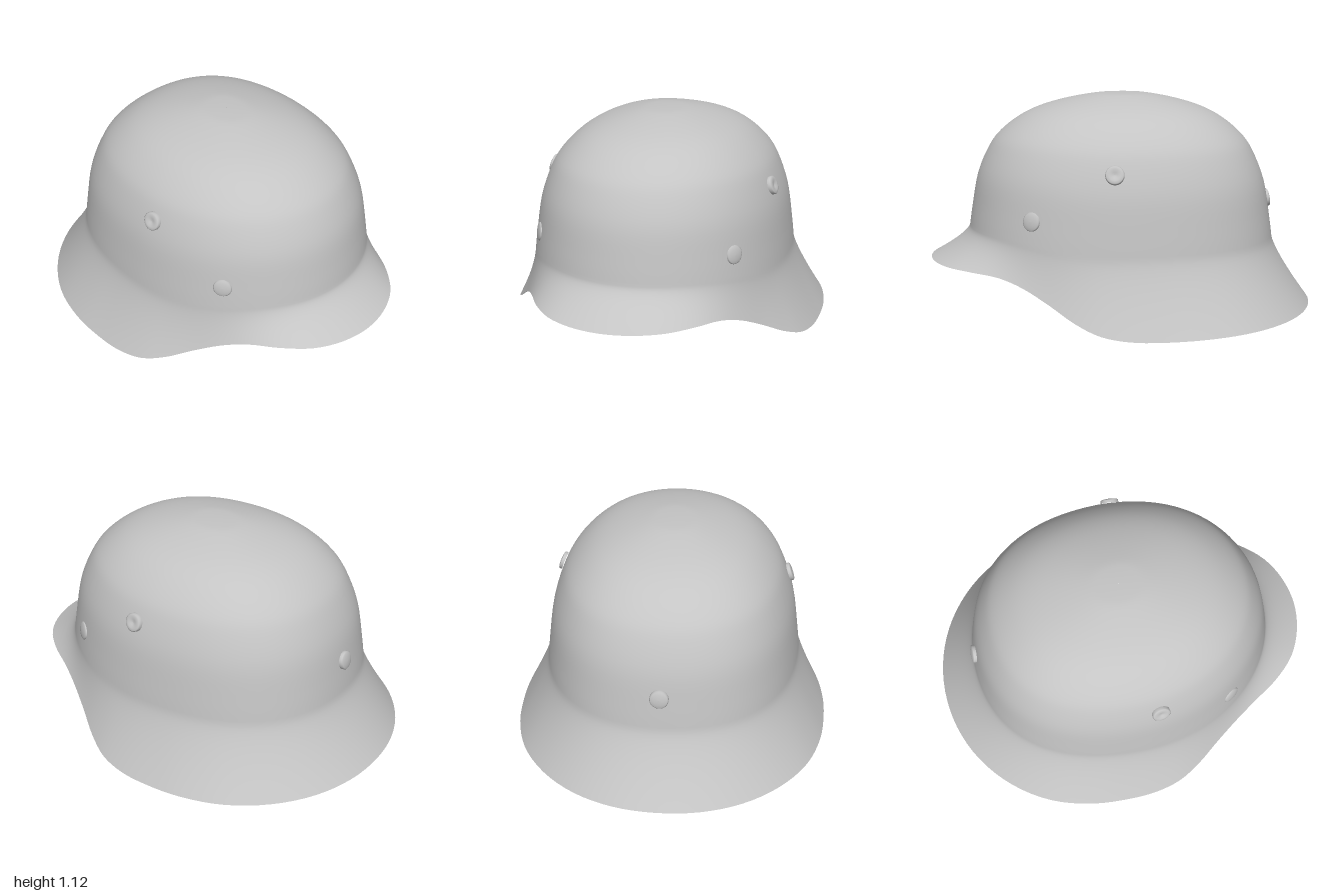
import * as THREE from 'three';

const A = 0.664, B = 0.796, TOP = 1.12, SEG = 128; // dome half width, half depth, height
const steel = new THREE.MeshStandardMaterial({ color: 0xc4c4c4 });
steel.name = 'steelGrey';

// Lower edge, from the front round the left side to the back
const half = [
  [0, 0.27, 1], [0.155, 0.27, 0.975], [0.295, 0.27, 0.905], [0.41, 0.268, 0.785], [0.495, 0.257, 0.65],
  [0.565, 0.22, 0.535], [0.648, 0.15, 0.405], [0.725, 0.08, 0.29], [0.785, 0.03, 0.17],
  [0.815, 0.008, 0.03], [0.82, 0.003, -0.12], [0.802, 0.005, -0.325], [0.733, 0.009, -0.545],
  [0.6, 0.012, -0.738], [0.42, 0.015, -0.885], [0.215, 0.019, -0.972], [0, 0.022, -1],
];
const mirrored = half.slice(1, -1).reverse().map(([x, y, z]) => [-x, y, z]);
const rimCurve = new THREE.CatmullRomCurve3(
  [...half, ...mirrored].map((p) => new THREE.Vector3(...p)), true);

// One station per direction: dome outline, crease height and rim point
const stations = Array.from({ length: SEG }, (_, i) => {
  const rim = rimCurve.getPoint(i / SEG);
  const t = Math.atan2(rim.x / A, rim.z / B);
  const front = THREE.MathUtils.smoothstep(Math.cos(t), 0.1, 0.9);
  // The outline is fuller than an ellipse towards the back corners
  const full = 1 + (Math.cos(t) < 0 ? 0.042 : 0.008) * Math.sin(2 * t) ** 2;
  return {
    rim, front, x: A * full * Math.sin(t), z: B * full * Math.cos(t), crease: 0.365 + 0.07 * front,
  };
});

// Dome profile as (radius factor, height)
const profile = new THREE.SplineCurve([
  [0.002, 1.12], [0.1, 1.1185], [0.2, 1.112], [0.38, 1.084], [0.54, 1.046], [0.67, 0.995],
  [0.79, 0.92], [0.865, 0.84], [0.94, 0.7], [0.98, 0.53], [1, 0.42],
].map((p) => new THREE.Vector2(...p))).getPoints(40);

// Ring rules: each gives the point of a ring at a station
const domeRing = (r, y, scale = 1, drop = 0) => (s) => new THREE.Vector3(
  s.x * r * scale, s.crease + (y - 0.42) * (TOP - s.crease) / 0.7 - drop, s.z * r * scale);
const skirtRing = (v, scale = 1) => (s) => {
  const h = Math.pow(v, 1.25 + 0.3 * s.front);
  return new THREE.Vector3(
    THREE.MathUtils.lerp(s.x, s.rim.x, h) * scale,
    THREE.MathUtils.lerp(s.crease, s.rim.y, v),
    THREE.MathUtils.lerp(s.z, s.rim.z, h) * scale);
};
const lipRing = (r, dy) => (s) => new THREE.Vector3(s.x * r, s.crease + dy, s.z * r);

// Skin a list of rings into a closed band
function skin(name, rings) {
  const pos = [], idx = [];
  rings.forEach((ring) => stations.forEach((s) => pos.push(...ring(s).toArray())));
  for (let r = 0; r < rings.length - 1; r++) {
    for (let j = 0; j < SEG; j++) {
      const k = (j + 1) % SEG, a = r * SEG, b = a + SEG;
      idx.push(a + j, b + j, b + k, a + j, b + k, a + k);
    }
  }
  const geo = new THREE.BufferGeometry();
  geo.setAttribute('position', new THREE.Float32BufferAttribute(pos, 3));
  geo.setIndex(idx);
  geo.computeVertexNormals();
  return part(name, geo);
}

function part(name, geo) {
  const mesh = new THREE.Mesh(geo, steel);
  mesh.name = name;
  return mesh;
}

// Turn a part so that its +z axis points along the given normal
function place(mesh, position, normal) {
  mesh.position.set(...position);
  mesh.quaternion.setFromUnitVectors(
    new THREE.Vector3(0, 0, 1), new THREE.Vector3(...normal).normalize());
  return mesh;
}

// Flat round stud turned from a profile, with an optional dimple
function stud(name, dimple) {
  const pts = [[0.047, -0.014], [0.047, 0.001], [0.042, 0.005], [0.028, 0.008],
    [0.014, dimple ? 0.002 : 0.01], [0, dimple ? 0 : 0.0105]];
  const geo = new THREE.LatheGeometry(pts.map((p) => new THREE.Vector2(...p)), 28);
  geo.rotateX(Math.PI / 2);
  return part(name, geo);
}

function roundedRect(path, w, h, r) {
  const x = w / 2, y = h / 2;
  path.moveTo(-x + r, -y).lineTo(x - r, -y).quadraticCurveTo(x, -y, x, -y + r);
  path.lineTo(x, y - r).quadraticCurveTo(x, y, x - r, y);
  path.lineTo(-x + r, y).quadraticCurveTo(-x, y, -x, y - r);
  path.lineTo(-x, -y + r).quadraticCurveTo(-x, -y, -x + r, -y);
  return path;
}

// Strap buckle: open frame with a small loop over its top bar
function buckle(side) {
  const group = new THREE.Group();
  group.name = side > 0 ? 'leftBuckle' : 'rightBuckle';
  const shape = roundedRect(new THREE.Shape(), 0.145, 0.11, 0.025);
  shape.holes.push(roundedRect(new THREE.Path(), 0.105, 0.07, 0.014));
  const frame = part('buckleFrame', new THREE.ExtrudeGeometry(shape, {
    depth: 0.008, bevelEnabled: true, bevelSize: 0.003, bevelThickness: 0.003, bevelSegments: 2,
  }));
  const loop = part('buckleLoop', new THREE.BoxGeometry(0.08, 0.035, 0.022));
  loop.position.set(0, 0.05, 0.004);
  group.add(frame, loop);
  group.position.set(side * 0.645, 0.328, 0.1);
  group.rotation.set(0.35, -side * Math.PI / 2, 0, 'YXZ');
  return group;
}

export function createModel() {
  const model = new THREE.Group();
  model.name = 'helmet';
  const steps = Array.from({ length: 17 }, (_, i) => i / 16);

  // Outer shell: dome running into the flared skirt
  model.add(skin('outerShell', [
    ...profile.map((p) => domeRing(p.x, p.y)), ...steps.slice(1).map((v) => skirtRing(v)),
  ]));
  // Thin lower edge and underside of the skirt
  model.add(skin('rimEdge', [skirtRing(1), skirtRing(1, 0.995)]));
  model.add(skin('skirtInside', [...steps].reverse().map((v) => skirtRing(v, 0.993 - 0.006 * (1 - v)))));
  // Inner bowl with a rolled lip
  model.add(skin('innerBowl', [
    lipRing(0.987, -0.005), lipRing(0.968, -0.02), lipRing(0.952, -0.014), lipRing(0.944, 0.004),
    lipRing(0.945, 0.03), lipRing(0.952, 0.06),
    ...[...profile].reverse().filter((p) => p.y > 0.54).map((p) => domeRing(p.x, p.y, 0.968, 0.022)),
  ]));

  // Studs, inner fittings and buckles on both sides
  for (const side of [1, -1]) {
    const label = side > 0 ? 'left' : 'right';
    model.add(place(stud(label + 'VentBushing', true), [side * 0.602, 0.78, 0.085], [side, 0.36, 0.1]));
    model.add(place(stud(label + 'FrontRivet', false), [side * 0.514, 0.54, 0.487], [side, 0.17, 0.66]));
    model.add(place(stud(label + 'VentInside', true), [side * 0.568, 0.755, 0.085], [-side, -0.36, -0.1]));

    const tab = part(label + 'InnerTab', new THREE.CapsuleGeometry(0.044, 0.08, 6, 14));
    tab.geometry.scale(1, 1, 0.25);
    model.add(place(tab, [side * 0.382, 0.845, 0.436], [side * 0.88, 0.6, 0.71]));
    model.add(buckle(side));
  }
  model.add(place(stud('backRivet', false), [0, 0.55, -0.786], [0, 0.16, -1]));
  return model;
}
